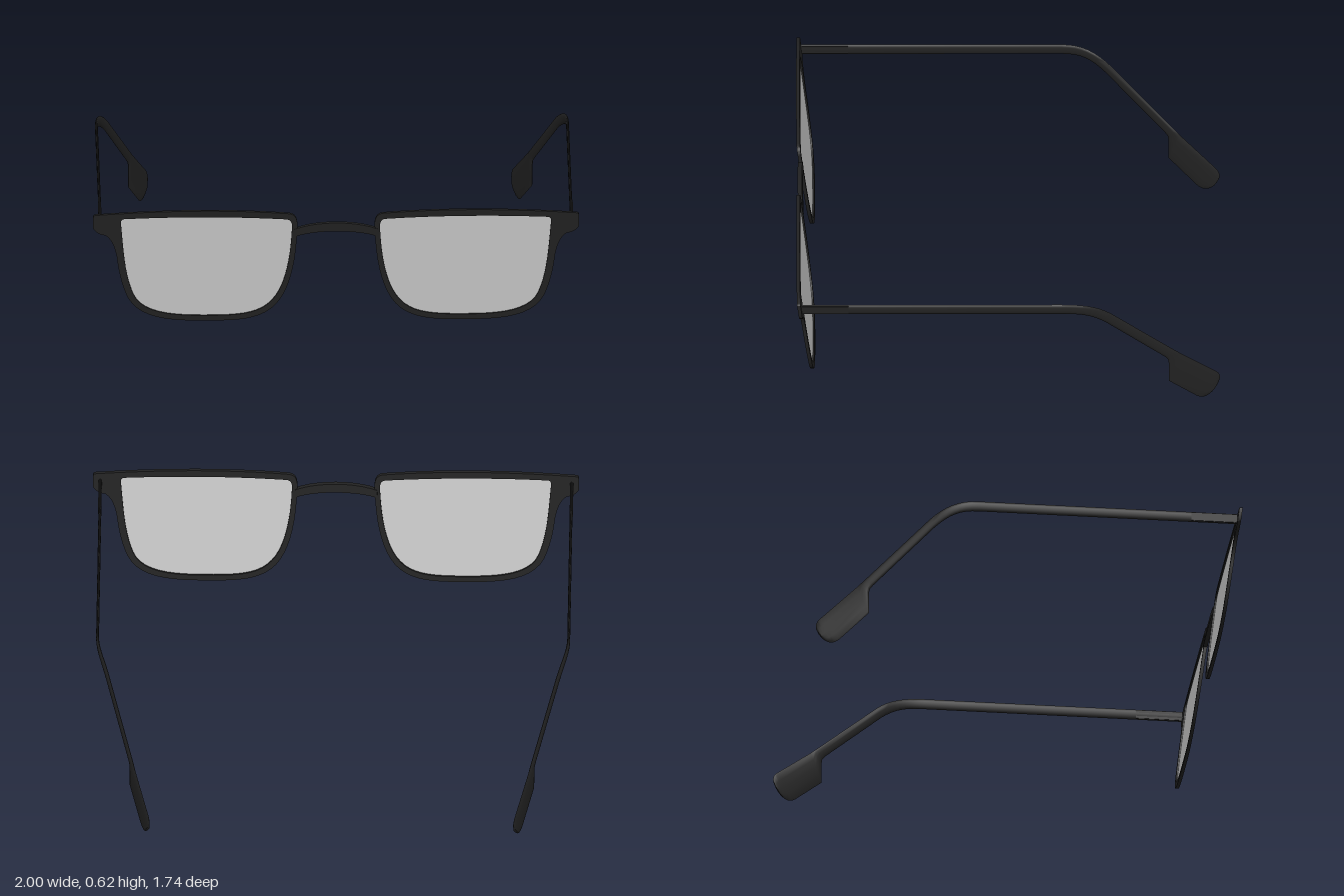
import * as THREE from 'three';
import { toCreasedNormals } from 'three/addons/utils/BufferGeometryUtils.js';

const frameMat = new THREE.MeshStandardMaterial({ color: 0x222222 });
const lensMat = new THREE.MeshStandardMaterial({ color: 0xcccccc, side: THREE.DoubleSide });

// The whole front leans: lower edge nearer the face.
function lean(geo) {
  const p = geo.attributes.position;
  for (let i = 0; i < p.count; i++) p.setZ(i, p.getZ(i) + 0.788 + 0.126 * p.getY(i));
  return toCreasedNormals(geo, 0.6);
}

// Flat slab centred on its own plane.
function slab(shape, depth) {
  return new THREE.ExtrudeGeometry(shape, { depth, bevelEnabled: false, curveSegments: 10 })
    .translate(0, 0, -depth / 2);
}

function add(parent, name, geo, mat) {
  const mesh = new THREE.Mesh(geo, mat);
  mesh.name = name;
  parent.add(mesh);
}

// Lens opening, traced from the inner top corner round to the bottom.
function lensShape(s) {
  const l = new THREE.Shape();
  l.moveTo(s * 0.205, 0.583);
  l.quadraticCurveTo(s * 0.53, 0.604, s * 0.872, 0.588);
  l.quadraticCurveTo(s * 0.886, 0.587, s * 0.886, 0.57);
  l.bezierCurveTo(s * 0.875, 0.44, s * 0.87, 0.33, s * 0.835, 0.24);
  l.bezierCurveTo(s * 0.80, 0.15, s * 0.68, 0.137, s * 0.54, 0.137);
  l.bezierCurveTo(s * 0.42, 0.137, s * 0.32, 0.137, s * 0.265, 0.205);
  l.bezierCurveTo(s * 0.205, 0.27, s * 0.185, 0.42, s * 0.181, 0.55);
  l.quadraticCurveTo(s * 0.181, 0.581, s * 0.205, 0.583);
  return l;
}

// Outer edge of the rim, including the endpiece that carries the temple.
function rimShape(s) {
  const r = new THREE.Shape();
  r.moveTo(s * 0.195, 0.609);
  r.quadraticCurveTo(s * 0.55, 0.639, s * 0.99, 0.606);
  r.quadraticCurveTo(s, 0.605, s, 0.595);
  r.lineTo(s, 0.545);
  r.quadraticCurveTo(s * 0.985, 0.517, s * 0.95, 0.513);
  r.quadraticCurveTo(s * 0.915, 0.49, s * 0.902, 0.41);
  r.bezierCurveTo(s * 0.895, 0.35, s * 0.885, 0.29, s * 0.858, 0.225);
  r.bezierCurveTo(s * 0.81, 0.125, s * 0.69, 0.113, s * 0.54, 0.113);
  r.bezierCurveTo(s * 0.41, 0.113, s * 0.31, 0.113, s * 0.245, 0.19);
  r.bezierCurveTo(s * 0.18, 0.27, s * 0.162, 0.42, s * 0.159, 0.56);
  r.quadraticCurveTo(s * 0.16, 0.605, s * 0.195, 0.609);
  // The hole runs against the outline so its walls face inward
  r.holes.push(new THREE.Path(lensShape(s).getPoints(10).reverse()));
  return r;
}

// Temple runs straight back, then curves inward to a straight slant.
function templeX(z) {
  const start = 0.23, blend = 0.14, slope = 0.386;
  const d = Math.max(0, -z - start);
  return 0.97 - (d < blend ? slope * d * d / (2 * blend) : slope * (d - blend / 2));
}

// Upper and lower edges of the temple in side profile, point for point (first axis runs backwards).
function templeEdges() {
  const top = new THREE.Path().moveTo(-0.852, 0.585).lineTo(0.22, 0.585)
    .bezierCurveTo(0.30, 0.585, 0.36, 0.565, 0.42, 0.512)
    .lineTo(0.67, 0.276).lineTo(0.685, 0.262).lineTo(0.695, 0.253).lineTo(0.71, 0.239)
    .lineTo(0.855, 0.115).quadraticCurveTo(0.882, 0.09, 0.862, 0.055);
  const bottom = new THREE.Path().moveTo(-0.852, 0.54).lineTo(0.22, 0.54)
    .bezierCurveTo(0.30, 0.54, 0.34, 0.525, 0.40, 0.474)
    .lineTo(0.645, 0.24).lineTo(0.657, 0.225).lineTo(0.66, 0.205).lineTo(0.66, 0.118)
    .lineTo(0.775, 0.015).quadraticCurveTo(0.81, -0.013, 0.842, 0.024);
  return [top.getPoints(8), bottom.getPoints(8)];
}

// Thin oval cross-sections strung between the two edges, closed at both ends.
function templeGeometry(s) {
  const [top, bottom] = templeEdges();
  const sides = 12, last = top.length - 1, pos = [], index = [];
  const ring = (i, size) => {
    const mid = top[i].clone().lerp(bottom[i], 0.5);
    for (let k = 0; k < sides; k++) {
      const a = k / sides * Math.PI * 2;
      const p = mid.clone().lerp(top[i], Math.cos(a) * size);
      pos.push(s * templeX(-p.x) + Math.sin(a) * 0.006 * size, p.y, -p.x);
    }
  };
  ring(0, 0);
  top.forEach((_, i) => ring(i, 1));
  ring(last, 0);
  for (let i = 0; i < last + 2; i++) {
    for (let k = 0; k < sides; k++) {
      const a = i * sides + k, b = i * sides + (k + 1) % sides;
      index.push(a, b, a + sides, b, b + sides, a + sides);
    }
  }
  const geo = new THREE.BufferGeometry();
  geo.setAttribute('position', new THREE.Float32BufferAttribute(pos, 3));
  geo.setIndex(index);
  return toCreasedNormals(geo, 1);
}

export function createModel() {
  const model = new THREE.Group();
  model.name = 'glasses';

  for (const s of [1, -1]) {
    const side = s > 0 ? 'left' : 'right';
    add(model, side + 'Rim', lean(slab(rimShape(s), 0.014)), frameMat);
    add(model, side + 'Lens', lean(new THREE.ShapeGeometry(lensShape(s), 10)), lensMat);
    add(model, side + 'Temple', templeGeometry(s), frameMat);

    // Hinge plate at the root of the temple
    const hinge = new THREE.BoxGeometry(0.013, 0.036, 0.19).translate(s * 0.971, 0.5625, 0.755);
    add(model, side + 'Hinge', hinge, frameMat);
  }

  // Arched nose bridge
  const b = new THREE.Shape();
  b.moveTo(-0.17, 0.537);
  b.bezierCurveTo(-0.08, 0.575, 0.08, 0.575, 0.17, 0.537);
  b.lineTo(0.17, 0.503);
  b.bezierCurveTo(0.08, 0.535, -0.08, 0.535, -0.17, 0.503);
  add(model, 'bridge', lean(slab(b, 0.018)), frameMat);

  return model;
}
